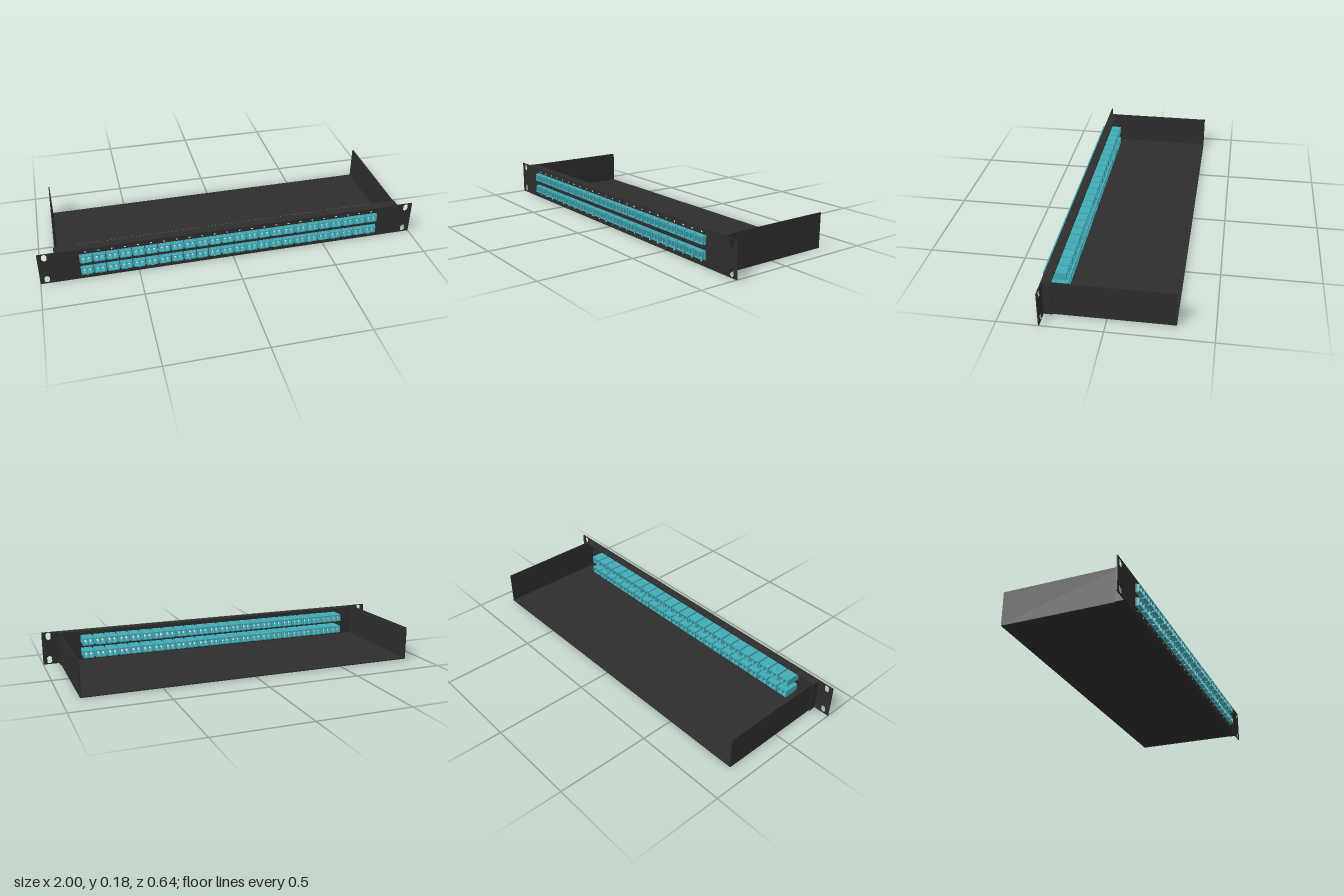
import * as THREE from 'three';

const H = 0.18, T = 0.005, FRONT = 0.302, BACK = -0.322;

// Rectangle outline centred on (x, y); works for shapes and holes
function rect(Type, x, y, w, h) {
  const p = new Type();
  p.moveTo(x - w / 2, y - h / 2);
  p.lineTo(x + w / 2, y - h / 2);
  p.lineTo(x + w / 2, y + h / 2);
  p.lineTo(x - w / 2, y + h / 2);
  p.closePath();
  return p;
}

// Upright slot with round ends
function slot(x, y, w, h) {
  const r = w / 2, d = h / 2 - r, p = new THREE.Path();
  p.absarc(x, y + d, r, 0, Math.PI, false);
  p.absarc(x, y - d, r, Math.PI, Math.PI * 2, false);
  p.closePath();
  return p;
}

// Connector opening with clipped upper corners
function port(x) {
  const w = 0.0105, h = 0.014, c = 0.005, p = new THREE.Path();
  p.moveTo(x - w, -h);
  p.lineTo(x + w, -h);
  p.lineTo(x + w, h - c);
  p.lineTo(x + w - c, h);
  p.lineTo(x - w + c, h);
  p.lineTo(x - w, h - c);
  p.closePath();
  return p;
}

function extrude(shape, z0, z1) {
  const g = new THREE.ExtrudeGeometry(shape, { depth: z1 - z0, bevelEnabled: false, curveSegments: 8 });
  return g.translate(0, 0, z0);
}

export function createModel() {
  const model = new THREE.Group();
  model.name = 'patchPanel';
  const metal = new THREE.MeshStandardMaterial({ color: 0x2d2d2d });
  metal.name = 'darkMetal';
  const teal = new THREE.MeshStandardMaterial({ color: 0x42acb8 });
  teal.name = 'tealPlastic';
  const white = new THREE.MeshStandardMaterial({ color: 0xf2f2f2 });
  white.name = 'white';

  const add = (parent, name, geometry, material, x = 0, y = 0, z = 0) => {
    const m = new THREE.Mesh(geometry, material);
    m.name = name;
    m.position.set(x, y, z);
    parent.add(m);
    return m;
  };
  // Box given by its limits
  const plate = (name, x0, x1, y0, y1, z0, z1) => add(model, name,
    new THREE.BoxGeometry(x1 - x0, y1 - y0, z1 - z0), metal,
    (x0 + x1) / 2, (y0 + y1) / 2, (z0 + z1) / 2);

  const columns = Array.from({ length: 24 }, (_, i) => (i - 11.5) * 0.0663);
  const rows = [0.056, 0.128];

  // Front panel with rack slots and adapter cutouts
  const face = rect(THREE.Shape, 0, H / 2, 2, H);
  for (const x of [-0.965, 0.965])
    for (const y of [0.024, 0.157]) face.holes.push(slot(x, y, 0.027, 0.042));
  for (const x of columns)
    for (const y of rows) face.holes.push(rect(THREE.Path, x, y, 0.058, 0.04));
  add(model, 'frontPanel', extrude(face, FRONT - T, FRONT), metal);

  // Open tray: floor and side walls, no back or lid
  plate('trayFloor', -0.91, 0.91, 0, T, BACK, FRONT - T);
  for (const s of [-1, 1]) {
    const side = s < 0 ? 'right' : 'left';
    plate(side + 'Wall', s * 0.9075 - 0.0025, s * 0.9075 + 0.0025, T, H, BACK, FRONT - T);
    plate(side + 'Flange', s * 0.9125 - 0.0025, s * 0.9125 + 0.0025, 0, H, 0.255, FRONT - T);
  }
  plate('topLip', -0.905, 0.905, H - T, H, 0.255, FRONT - T);

  // Duplex adapter: hollow body, collar, and a sleeve on a post in each port
  const body = rect(THREE.Shape, 0, 0, 0.058, 0.04);
  body.holes.push(port(-0.0135), port(0.0135));
  const bodyGeo = extrude(body, 0.21, 0.322);
  const collar = rect(THREE.Shape, 0, 0, 0.064, 0.045);
  collar.holes.push(rect(THREE.Path, 0, 0, 0.058, 0.04));
  const collarGeo = extrude(collar, FRONT, 0.308);
  const ring = new THREE.Shape();
  ring.absarc(0, 0, 0.0055, 0, Math.PI * 2, false);
  const bore = new THREE.Path();
  bore.absarc(0, 0, 0.0035, 0, Math.PI * 2, true);
  ring.holes.push(bore);
  const sleeveGeo = extrude(ring, 0.225, 0.308);
  const postGeo = new THREE.BoxGeometry(0.003, 0.009, 0.02);

  for (const y of rows) {
    for (const x of columns) {
      const adapter = new THREE.Group();
      adapter.name = 'adapter';
      adapter.position.set(x, y, 0);
      add(adapter, 'adapterBody', bodyGeo, teal);
      add(adapter, 'adapterCollar', collarGeo, teal);
      for (const px of [-0.0135, 0.0135]) {
        add(adapter, 'sleeve', sleeveGeo, white, px);
        add(adapter, 'sleevePost', postGeo, teal, px, -0.0095, 0.266);
      }
      model.add(adapter);
    }
  }

  // Small white position marks above and below the adapter rows
  const markGeo = new THREE.BoxGeometry(0.009, 0.006, 0.001);
  for (const x of columns)
    for (const y of [0.022, 0.162]) add(model, 'positionMark', markGeo, white, x, y, FRONT + 0.0005);

  return model;
}
